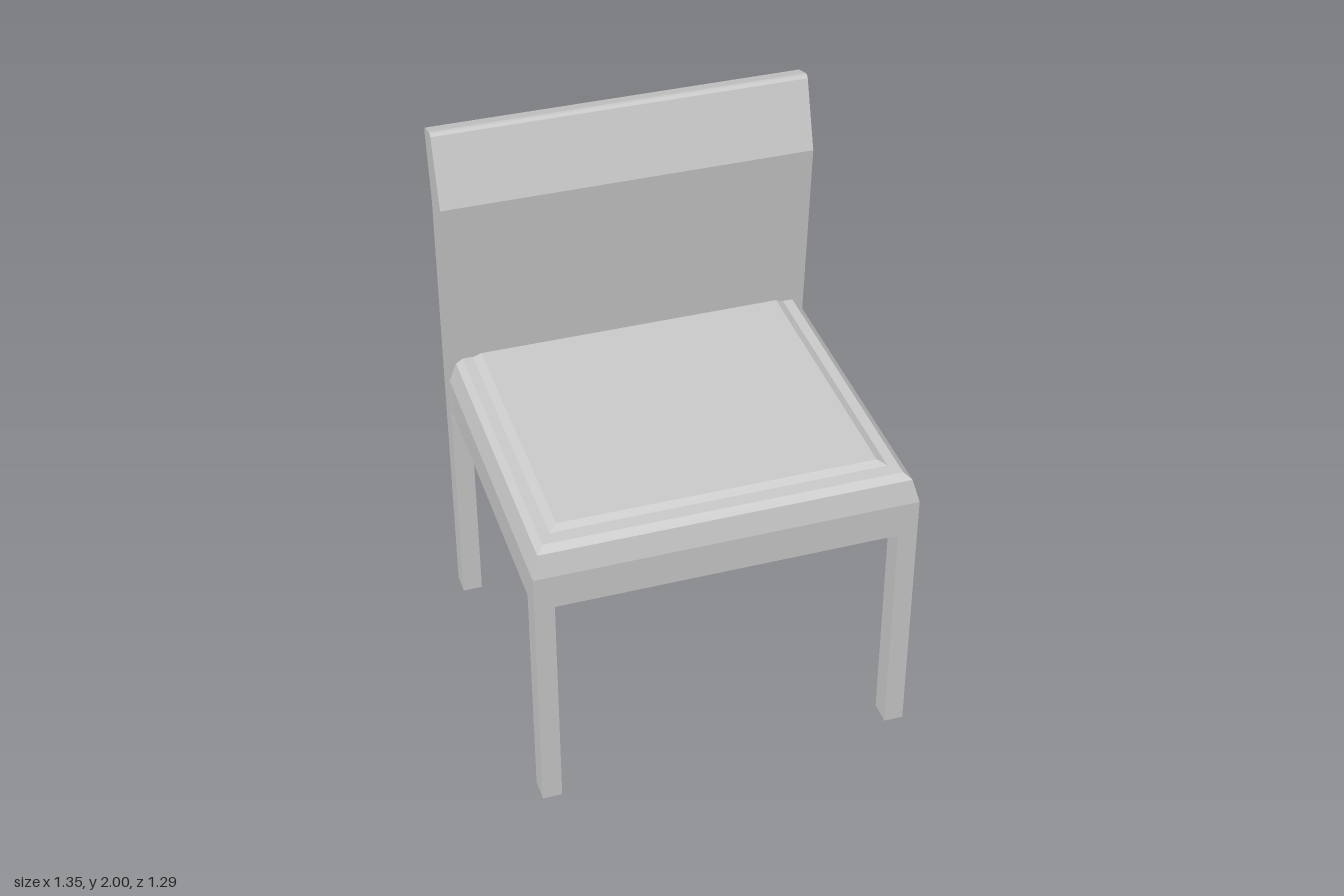
import * as THREE from 'three';

const material = new THREE.MeshStandardMaterial({ color: 0xcccccc, flatShading: true });

function addPart(parent, name, geometry) {
  const mesh = new THREE.Mesh(geometry, material);
  mesh.name = name;
  parent.add(mesh);
}

// Side profile of [z, y] points, extruded across the width from x0 to x1
function extrudeProfile(points, x0, x1) {
  const shape = new THREE.Shape(points.map(([z, y]) => new THREE.Vector2(z, y)));
  const geometry = new THREE.ExtrudeGeometry(shape, { depth: x1 - x0, bevelEnabled: false });
  return geometry.rotateY(-Math.PI / 2).translate(x1, 0, 0);
}

// Stack of rectangles [y, halfWidth, zFront, zBack], closed at both ends
function loftRectangles(sections) {
  const rings = sections.map(([y, w, zf, zb]) => [[-w, y, zb], [-w, y, zf], [w, y, zf], [w, y, zb]]);
  const positions = [];
  const quad = (a, b, c, d) => positions.push(...a, ...b, ...c, ...a, ...c, ...d);
  for (let k = 0; k < rings.length - 1; k++) {
    const low = rings[k], high = rings[k + 1];
    for (let i = 0; i < 4; i++) {
      const j = (i + 1) % 4;
      quad(low[i], low[j], high[j], high[i]);
    }
  }
  const bottom = rings[0], top = rings[rings.length - 1];
  quad(...top);
  quad(bottom[3], bottom[2], bottom[1], bottom[0]);
  const geometry = new THREE.BufferGeometry();
  geometry.setAttribute('position', new THREE.Float32BufferAttribute(positions, 3));
  geometry.computeVertexNormals();
  return geometry;
}

export function createModel() {
  const chair = new THREE.Group();
  chair.name = 'chair';
  const outer = 0.677, inner = 0.605;

  // Padded seat with chamfered rim and slightly raised top
  addPart(chair, 'seat', loftRectangles([
    [0.87, 0.675, 0.645, -0.515],
    [1.0, 0.675, 0.645, -0.515],
    [1.085, 0.652, 0.625, -0.495],
    [1.105, 0.627, 0.6, -0.49],
    [1.105, 0.59, 0.55, -0.487],
    [1.12, 0.56, 0.525, -0.482],
  ]));

  // Front of the backrest, from the seat up to the rounded top edge
  const backFront = [
    [-0.515, 1.0], [-0.467, 1.745], [-0.548, 1.99], [-0.556, 2.0], [-0.568, 2.0],
    [-0.635, 1.98], [-0.645, 1.962], [-0.605, 1.745],
  ];

  // Back legs running up into the backrest sides, and front legs
  for (const side of [-1, 1]) {
    const label = side > 0 ? 'left' : 'right';
    const x0 = side > 0 ? inner : -outer;
    const x1 = side > 0 ? outer : -inner;
    addPart(chair, label + 'BackPost', extrudeProfile(
      [[-0.515, 0], ...backFront, [-0.6, 1.7], [-0.6, 0]], x0, x1));

    const leg = new THREE.BoxGeometry(0.07, 0.88, 0.085);
    leg.translate(side * 0.64, 0.44, 0.6025);
    addPart(chair, label + 'FrontLeg', leg);
  }

  // Backrest between the posts, with a recessed rear panel and a lower rail
  addPart(chair, 'backrest', extrudeProfile([
    [-0.515, 0.87], ...backFront, [-0.604, 1.735],
    [-0.575, 1.735], [-0.575, 1.0], [-0.6, 1.0], [-0.6, 0.87],
  ], -inner, inner));

  return chair;
}
